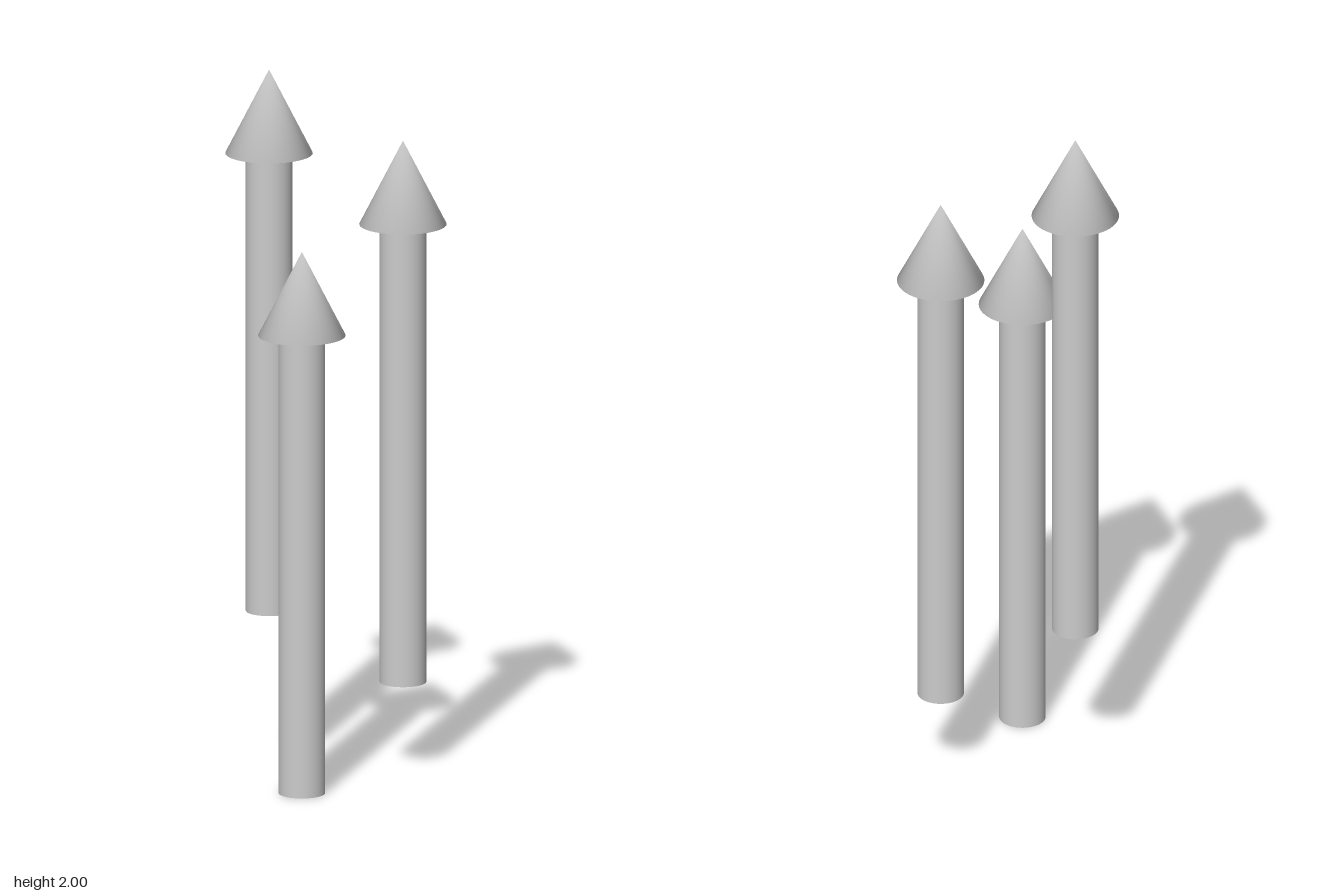
import * as THREE from 'three';
import { mergeVertices } from 'three/addons/utils/BufferGeometryUtils.js';

const SHAFT_RADIUS = 0.065, SHAFT_LENGTH = 1.315;
const HEAD_RADIUS = 0.122, HEAD_LENGTH = 0.24;

// Cone whose tip, side and base share vertices, so the shading rolls over its edges
function softCone(radius, height, sides) {
  const cone = new THREE.ConeGeometry(radius, height, sides);
  cone.deleteAttribute('normal');
  cone.deleteAttribute('uv');
  const merged = mergeVertices(cone, 1e-4);
  merged.computeVertexNormals();
  return merged;
}

export function createModel() {
  const model = new THREE.Group();
  model.name = 'upArrows';
  const material = new THREE.MeshStandardMaterial({ color: 0xcccccc });

  // Both parts start at y = 0 of their own frame
  const shaftGeometry = new THREE.CylinderGeometry(SHAFT_RADIUS, SHAFT_RADIUS, SHAFT_LENGTH, 48)
    .translate(0, SHAFT_LENGTH / 2, 0);
  const headGeometry = softCone(HEAD_RADIUS, HEAD_LENGTH, 48).translate(0, HEAD_LENGTH / 2, 0);

  // Foot of each arrow
  const arrows = [
    ['backArrow', -0.121, 0.445, -0.162],
    ['leftArrow', 0.187, 0.252, 0.054],
    ['frontArrow', -0.189, 0, 0.16],
  ];
  for (const [name, x, y, z] of arrows) {
    const arrow = new THREE.Group();
    arrow.name = name;
    arrow.position.set(x, y, z);

    const shaft = new THREE.Mesh(shaftGeometry, material);
    shaft.name = 'shaft';
    const head = new THREE.Mesh(headGeometry, material);
    head.name = 'arrowHead';
    head.position.y = SHAFT_LENGTH;

    arrow.add(shaft, head);
    model.add(arrow);
  }
  return model;
}
